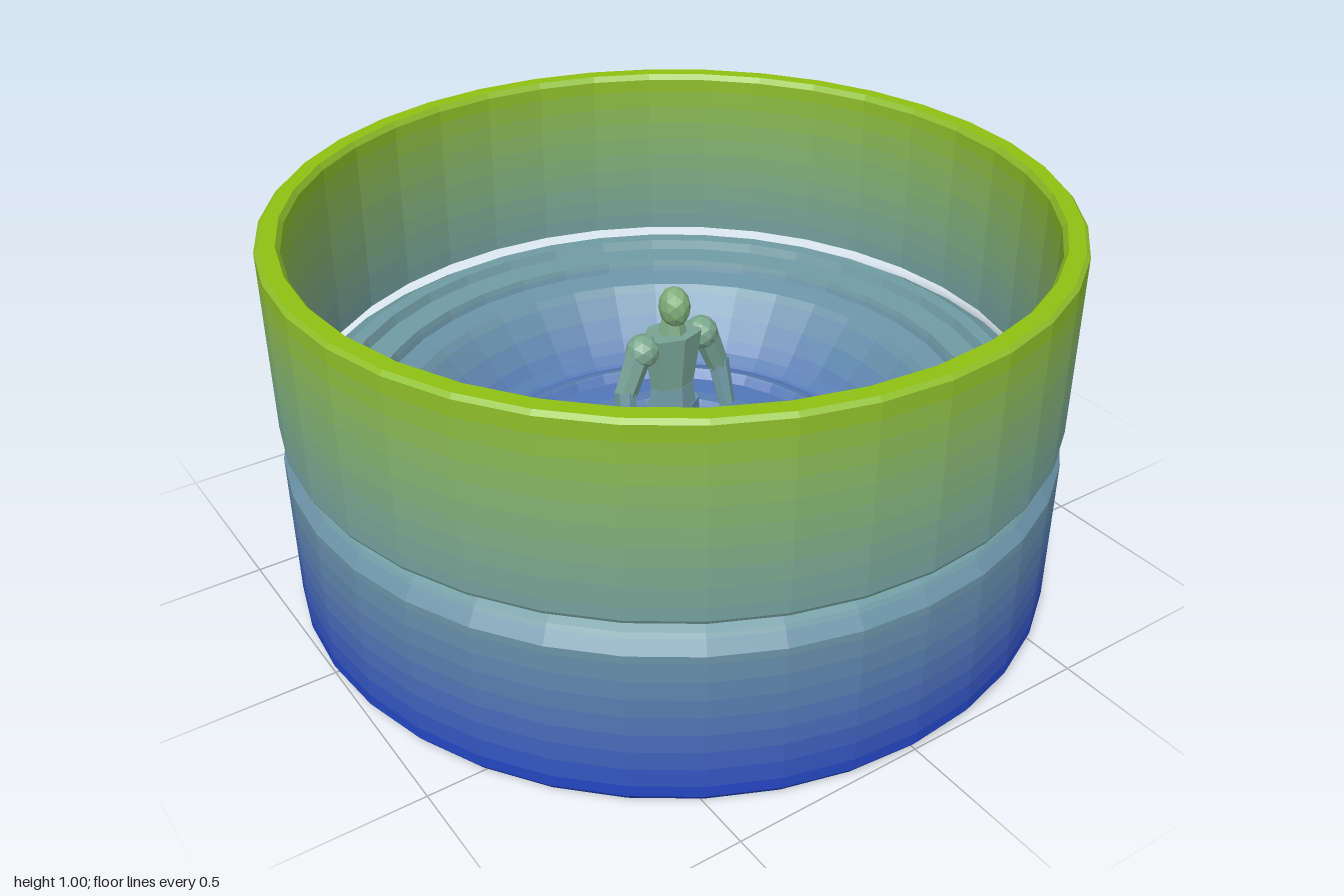
import * as THREE from 'three';
import { mergeGeometries } from 'three/addons/utils/BufferGeometryUtils.js';

const SIDES = 36;
const BAND = 0.05;

// Height tint: blue at the ground, teal in the middle, lime at the rim
const LOW = new THREE.Color(0x1a3ec4);
const MID = new THREE.Color(0x729da0);
const HIGH = new THREE.Color(0x8fc012);
const materials = new Map();
function tint(y) {
  const band = Math.floor(y / BAND);
  if (!materials.has(band)) {
    const t = Math.min(1, Math.max(0, (band + 0.5) * BAND));
    const color = t < 0.5 ? LOW.clone().lerp(MID, t * 2) : MID.clone().lerp(HIGH, t * 2 - 1);
    materials.set(band, new THREE.MeshStandardMaterial({ color, flatShading: true }));
  }
  return materials.get(band);
}

// Turned part: the profile [radius, y] is cut at every tint band
function turned(name, profile) {
  const group = new THREE.Group();
  group.name = name;
  const bands = new Map();
  for (let i = 1; i < profile.length; i++) {
    const a = new THREE.Vector2(...profile[i - 1]);
    const b = new THREE.Vector2(...profile[i]);
    const cuts = [0, 1];
    for (let k = 0; k <= 1 / BAND; k++) {
      const t = (k * BAND - a.y) / (b.y - a.y);
      if (t > 0.001 && t < 0.999) cuts.push(t);
    }
    cuts.sort((p, q) => p - q);
    for (let c = 1; c < cuts.length; c++) {
      const p = a.clone().lerp(b, cuts[c - 1]);
      const q = a.clone().lerp(b, cuts[c]);
      const band = Math.floor((p.y + q.y) / 2 / BAND + 1e-6);
      if (!bands.has(band)) bands.set(band, []);
      bands.get(band).push(new THREE.LatheGeometry([p, q], SIDES));
    }
  }
  for (const [band, pieces] of bands) {
    const mesh = new THREE.Mesh(mergeGeometries(pieces), tint((band + 0.5) * BAND));
    mesh.name = `${name}Band${band}`;
    group.add(mesh);
  }
  return group;
}

// Tapered low-poly limb between two points
function limb(name, from, to, r0, r1, depth = 1) {
  const a = new THREE.Vector3(...from);
  const b = new THREE.Vector3(...to);
  const dir = b.clone().sub(a);
  const mesh = new THREE.Mesh(new THREE.CylinderGeometry(r1, r0, dir.length(), 7), tint((a.y + b.y) / 2));
  mesh.position.copy(a).add(b).multiplyScalar(0.5);
  mesh.quaternion.setFromUnitVectors(new THREE.Vector3(0, 1, 0), dir.normalize());
  mesh.scale.z = depth;
  mesh.name = name;
  return mesh;
}

function blob(name, x, y, z, sx, sy, sz) {
  const mesh = new THREE.Mesh(new THREE.IcosahedronGeometry(1, 1), tint(y));
  mesh.position.set(x, y, z);
  mesh.scale.set(sx, sy, sz);
  mesh.name = name;
  return mesh;
}

// Small standing statue on the central plinth
function statue() {
  const group = new THREE.Group();
  group.name = 'statue';
  group.add(
    limb('hips', [0, 0.42, 0], [0, 0.5, 0], 0.07, 0.06, 0.75),
    limb('torso', [0, 0.49, 0], [0, 0.65, 0], 0.06, 0.085, 0.7),
    limb('neck', [0, 0.64, 0], [0, 0.7, 0], 0.04, 0.025),
    blob('head', 0, 0.725, 0.01, 0.04, 0.055, 0.045),
  );
  for (const s of [-1, 1]) {
    const side = s > 0 ? 'left' : 'right';
    group.add(
      blob(`${side}Shoulder`, s * 0.09, 0.62, 0, 0.045, 0.045, 0.045),
      limb(`${side}UpperArm`, [s * 0.1, 0.62, 0], [s * 0.145, 0.51, 0], 0.035, 0.03),
      limb(`${side}Forearm`, [s * 0.145, 0.52, 0], [s * 0.155, 0.4, 0.03], 0.03, 0.022),
      limb(`${side}Leg`, [s * 0.055, 0.27, 0], [s * 0.035, 0.44, 0], 0.032, 0.042),
      blob(`${side}Foot`, s * 0.058, 0.285, 0.025, 0.035, 0.022, 0.055),
    );
  }
  return group;
}

export function createModel() {
  const model = new THREE.Group();
  model.name = 'arena';

  // Lower drum: flat base, chamfered shoulder, terraces, bowl, ripple rings and plinth
  model.add(turned('drum', [
    [0, 0.01], [0.8, 0.005], [0.985, 0], [1, 0.02], [1, 0.42], [0.97, 0.46], [0.91, 0.495],
    [0.87, 0.495], [0.86, 0.47], [0.79, 0.465], [0.78, 0.435], [0.72, 0.42],
    [0.58, 0.27], [0.54, 0.245], [0.5, 0.255], [0.48, 0.23], [0.38, 0.22],
    [0.35, 0.265], [0.31, 0.265], [0.29, 0.23], [0.24, 0.23], [0.21, 0.275], [0, 0.28],
  ]));

  // Upper wall ring, floating just above the drum
  model.add(turned('upperRing', [
    [0.945, 0.505], [0.995, 0.505], [1, 0.515], [1, 0.99], [0.99, 1], [0.95, 1], [0.94, 0.985], [0.945, 0.505],
  ]));

  model.add(statue());
  return model;
}
